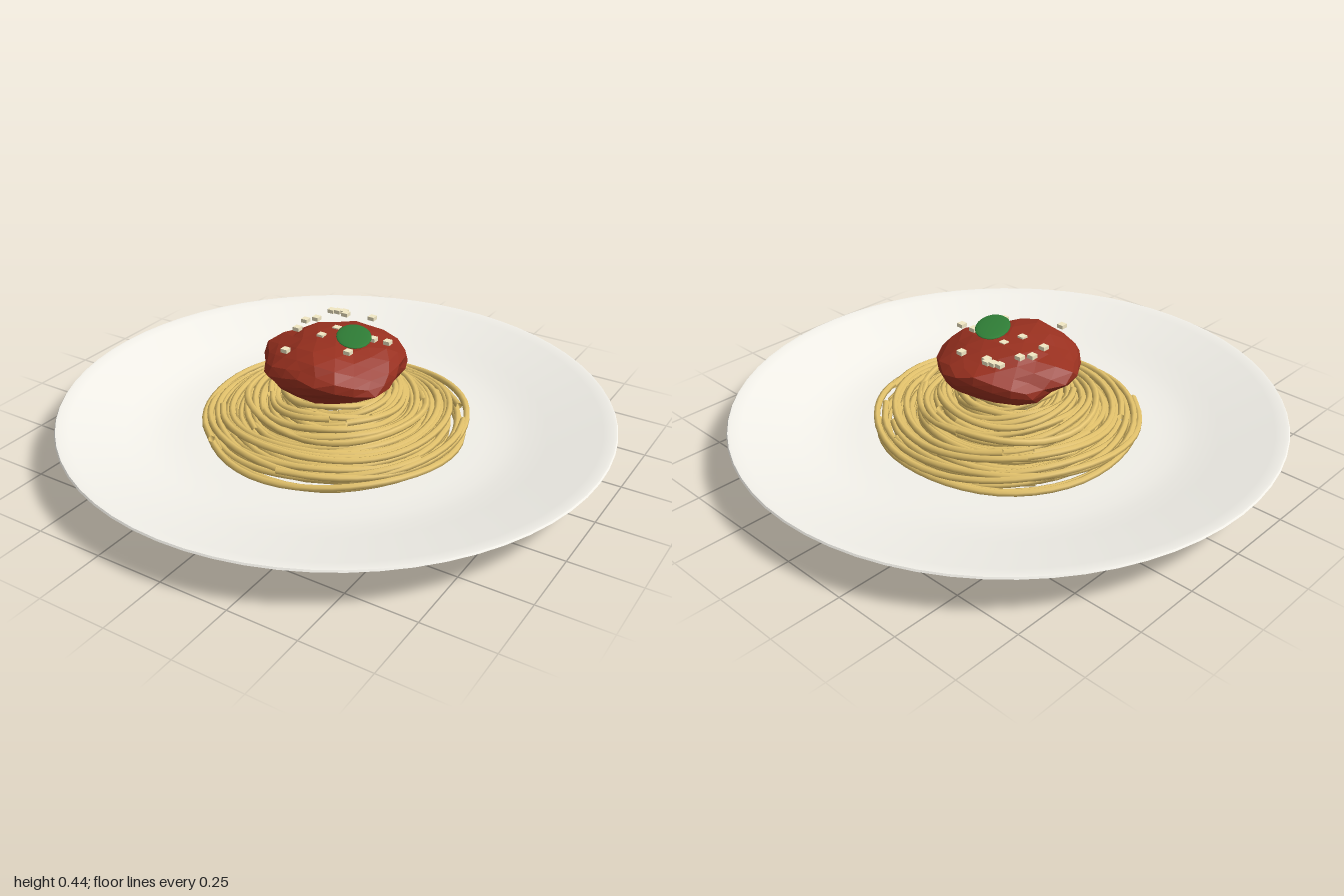
import * as THREE from 'three';
import { toCreasedNormals, mergeVertices } from 'three/addons/utils/BufferGeometryUtils.js';

const material = (color, extra = {}) => new THREE.MeshStandardMaterial({ color, ...extra });

function seeded(seed) {
  return () => {
    seed = (seed * 16807) % 2147483647;
    return seed / 2147483647;
  };
}

function part(name, geometry, mat) {
  const mesh = new THREE.Mesh(geometry, mat);
  mesh.name = name;
  return mesh;
}

// Closed profile: underside, foot, flared wall, thin rim, then the inner well
function createPlate() {
  const profile = [
    [0, 0], [0.62, 0], [0.635, 0.022], [0.655, 0.045], [0.69, 0.06], [0.76, 0.081], [0.99, 0.146],
    [1, 0.15], [0.996, 0.156], [0.985, 0.156], [0.95, 0.148], [0.76, 0.1], [0.68, 0.083],
    [0.62, 0.074], [0.54, 0.07], [0, 0.07],
  ].map(([r, y]) => new THREE.Vector2(r, y));
  const geometry = toCreasedNormals(new THREE.LatheGeometry(profile, 64), 0.7);
  return part('plate', geometry, material(0xf3f1ea));
}

// One strand: a slowly drifting arc wound around the nest
function createStrand(radius, height, random, mat) {
  const start = random() * Math.PI * 2;
  const sweep = Math.PI * (1.4 + random() * 1.1);
  const drift = (random() - 0.5) * 0.05;
  const phase = random() * Math.PI * 2;
  const points = [];
  for (let i = 0; i <= 20; i++) {
    const t = i / 20;
    const a = start + sweep * t;
    const r = Math.min(0.475, radius + drift * (t - 0.5) + 0.01 * Math.sin(2 * a + phase));
    const y = height + 0.01 * Math.sin(3 * a + phase);
    points.push(new THREE.Vector3(Math.cos(a) * r, Math.max(0.083, y), Math.sin(a) * r));
  }
  const curve = new THREE.CatmullRomCurve3(points);
  const geometry = new THREE.TubeGeometry(curve, 48, 0.0125, 6, false);
  return part('strand', geometry, mat);
}

// Layered rings forming a low mound
function createNest() {
  const nest = new THREE.Group();
  nest.name = 'spaghettiNest';
  const random = seeded(4217);
  const mat = material(0xe4c36c, { side: THREE.DoubleSide });
  const layers = [
    { y: 0.092, inner: 0.24, outer: 0.475, count: 15 },
    { y: 0.12, inner: 0.2, outer: 0.468, count: 17 },
    { y: 0.148, inner: 0.16, outer: 0.4, count: 14 },
    { y: 0.177, inner: 0.12, outer: 0.32, count: 11 },
    { y: 0.205, inner: 0.08, outer: 0.25, count: 9 },
    { y: 0.23, inner: 0.05, outer: 0.17, count: 6 },
  ];
  for (const { y, inner, outer, count } of layers) {
    for (let i = 0; i < count; i++) {
      const radius = THREE.MathUtils.lerp(inner, outer, i / (count - 1));
      nest.add(createStrand(radius, y + (random() - 0.5) * 0.014, random, mat));
    }
  }
  return nest;
}

// Squashed faceted ball with irregular bumps
function createSauce() {
  let geometry = new THREE.IcosahedronGeometry(1, 3);
  geometry.deleteAttribute('normal');
  geometry.deleteAttribute('uv');
  geometry = mergeVertices(geometry, 1e-4);
  const random = seeded(905);
  const position = geometry.attributes.position;
  const v = new THREE.Vector3();
  for (let i = 0; i < position.count; i++) {
    v.fromBufferAttribute(position, i);
    const bump = 0.98 + 0.05 * Math.sin(5 * v.x + 2 * v.z) * Math.cos(4 * v.z - 3 * v.y)
      + 0.04 * Math.sin(7 * v.z + 4 * v.y) + (random() - 0.5) * 0.06;
    position.setXYZ(i, v.x * bump * 0.255, v.y * bump * 0.102, v.z * bump * 0.265);
  }
  geometry.computeVertexNormals();
  const sauce = part('sauce', geometry, material(0x98301f, { flatShading: true }));
  sauce.position.set(0, 0.328, 0);
  return sauce;
}

// Small crumbs scattered level with the top of the sauce
function createCheese() {
  const cheese = new THREE.Group();
  cheese.name = 'gratedCheese';
  const mat = material(0xf2e8c4);
  const geometry = new THREE.BoxGeometry(0.025, 0.014, 0.025);
  const spots = [
    [-0.13, -0.178], [-0.107, -0.185], [-0.085, -0.192], [-0.07, -0.178], [0.03, -0.2],
    [-0.14, -0.09], [-0.165, -0.055], [-0.15, 0.02], [-0.045, 0.025], [-0.03, -0.053],
    [0.18, -0.05], [0.125, -0.045], [0.105, 0.09], [-0.085, 0.19],
  ];
  for (const [x, z] of spots) {
    const crumb = part('cheeseCrumb', geometry, mat);
    crumb.position.set(x, 0.424, z);
    cheese.add(crumb);
  }
  return cheese;
}

// Flattened oval leaf lying across the top
function createLeaf() {
  const leaf = part('basilLeaf', new THREE.SphereGeometry(1, 20, 12), material(0x2f7d36));
  leaf.scale.set(0.1, 0.008, 0.062);
  leaf.rotation.y = -0.98;
  leaf.position.set(0.07, 0.437, -0.005);
  return leaf;
}

export function createModel() {
  const model = new THREE.Group();
  model.name = 'spaghettiPlate';
  model.add(createPlate(), createNest(), createSauce(), createCheese(), createLeaf());
  return model;
}
